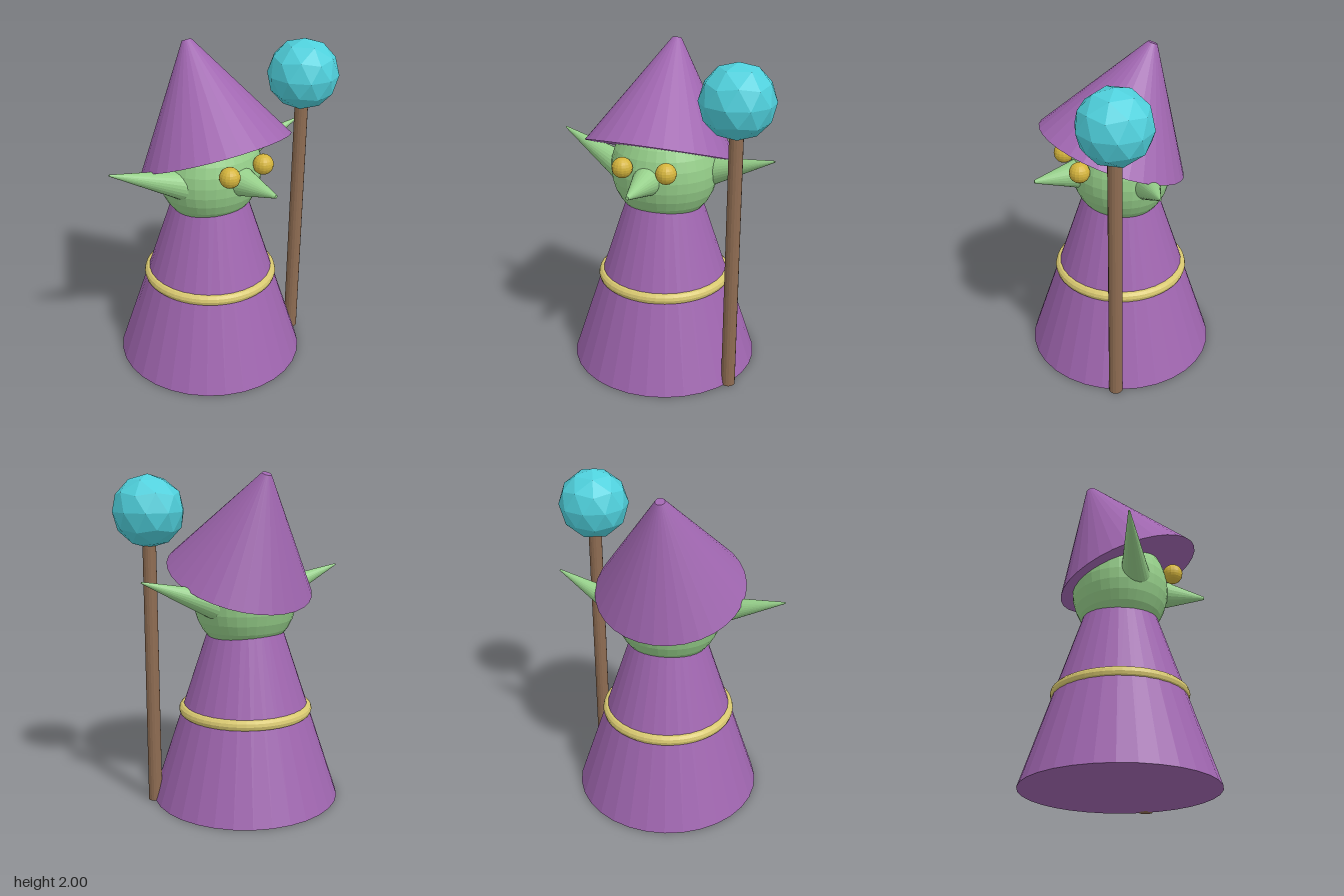
import * as THREE from 'three';

const flat = (name, color) => {
  const m = new THREE.MeshStandardMaterial({ color, flatShading: true });
  m.name = name;
  return m;
};

export function createModel() {
  const purple = flat('purple cloth', 0xa066b0);
  const green = flat('green skin', 0x96cf8a);
  const gold = flat('belt gold', 0xd8c870);
  const amber = flat('eye amber', 0xd4b43c);
  const wood = flat('staff wood', 0x8e6c52);
  const crystal = flat('cyan crystal', 0x4fd0dc);

  const model = new THREE.Group();
  model.name = 'wizard';
  const body = new THREE.Group();
  body.name = 'figure';
  body.position.x = -0.014;
  model.add(body);

  const add = (name, geometry, material, x = 0, y = 0, z = 0) => {
    const mesh = new THREE.Mesh(geometry, material);
    mesh.name = name;
    mesh.position.set(x, y, z);
    body.add(mesh);
    return mesh;
  };

  // Tapered cylinder running from a base point to a tip point
  const taper = (name, base, tip, rBase, rTip, sides, material) => {
    const a = new THREE.Vector3(...base);
    const axis = new THREE.Vector3(...tip).sub(a);
    const length = axis.length();
    const mesh = add(name, new THREE.CylinderGeometry(rTip, rBase, length, sides), material);
    mesh.position.copy(a).addScaledVector(axis, 0.5);
    mesh.quaternion.setFromUnitVectors(new THREE.Vector3(0, 1, 0), axis.normalize());
    return mesh;
  };

  // Robe and belt
  taper('robe', [0, 0, 0], [0, 1.15, 0], 0.578, 0.198, 32, purple);
  add('belt', new THREE.TorusGeometry(0.376, 0.036, 12, 48).rotateX(Math.PI / 2), gold, 0, 0.56, 0);

  // Head, slightly shallow front to back
  add('head', new THREE.SphereGeometry(0.325, 32, 16), green, 0, 1.25, 0).scale.set(1, 1.01, 0.91);

  // Pointed nose
  taper('nose', [0, 1.254, 0.2], [0, 1.252, 0.537], 0.108, 0.01, 24, green);

  // Eyes and ears; the ears sweep in opposite directions
  for (const s of [1, -1]) {
    const side = s > 0 ? 'left' : 'right';
    add(side + 'Eye', new THREE.SphereGeometry(0.061, 16, 12), amber, s * 0.135, 1.333, 0.307);
    taper(side + 'Ear', [s * 0.235, 1.231, s * -0.056], [s * 0.692, 1.4, s * 0.061], 0.092, 0.005, 24, green);
  }

  // Hat tipped backwards
  taper('hat', [0, 1.372, 0.053], [0, 1.99, -0.196], 0.453, 0.028, 32, purple);

  // Staff with a faceted orb standing on one corner
  taper('staff', [0.519, 0, 0.245], [0.519, 1.65, 0.245], 0.042, 0.04, 16, wood);
  const orb = new THREE.IcosahedronGeometry(0.212, 1);
  orb.rotateX(-Math.atan((1 + Math.sqrt(5)) / 2)).rotateY(-Math.PI / 2);
  add('staffOrb', orb, crystal, 0.519, 1.777, 0.245);

  return model;
}
